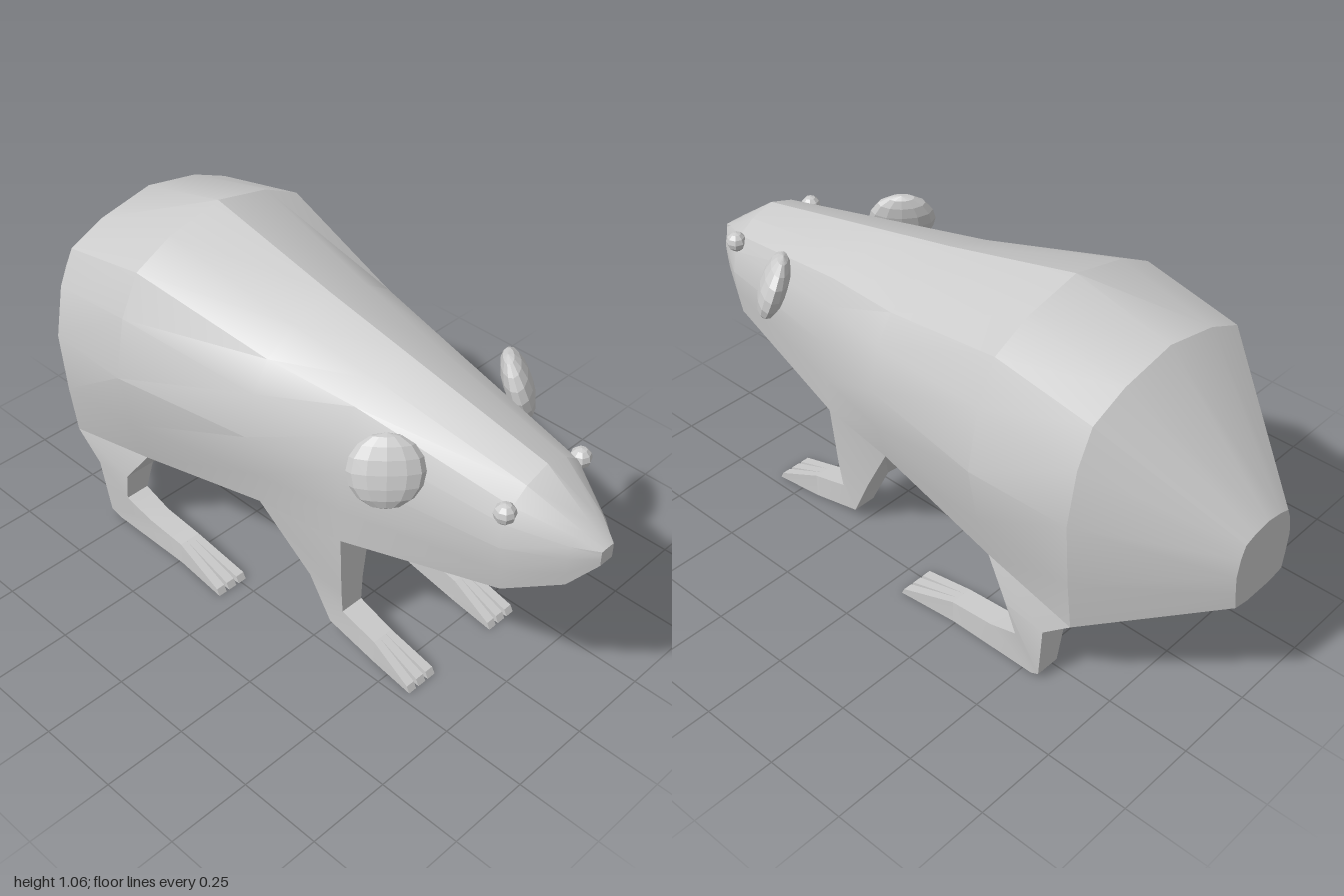
import * as THREE from 'three';
import { toCreasedNormals } from 'three/addons/utils/BufferGeometryUtils.js';

const material = new THREE.MeshStandardMaterial({ color: 0xcccccc });
const flat = new THREE.MeshStandardMaterial({ color: 0xcccccc, flatShading: true });

// Skin a list of equal-length closed rings (clockwise seen from the start) and cap both ends.
function loft(rings, crease) {
  const n = rings[0].length;
  const index = [];
  for (let i = 0; i < rings.length - 1; i++) {
    for (let j = 0; j < n; j++) {
      const a = i * n + j, b = i * n + (j + 1) % n;
      index.push(a, b, a + n, b, b + n, a + n);
    }
  }
  const last = (rings.length - 1) * n;
  for (let j = 1; j < n - 1; j++) {
    index.push(0, j + 1, j, last, last + j, last + j + 1);
  }
  const g = new THREE.BufferGeometry();
  g.setAttribute('position', new THREE.Float32BufferAttribute(rings.flat(2), 3));
  g.setIndex(index);
  return toCreasedNormals(g, crease);
}

function addMesh(parent, name, geometry, mat = material) {
  const mesh = new THREE.Mesh(geometry, mat);
  mesh.name = name;
  parent.add(mesh);
  return mesh;
}

// Full body ring from its key points; the rounding points between them follow a rule.
function bodyRing({ z, top, shoulder: [sx, sy], side: [wx, wy], corner: [cx, cy], belly: [bx, by], keel }) {
  const mix = THREE.MathUtils.lerp;
  const half = [
    [0, top], [0.6 * sx, mix(top, sy, 0.4)], [sx, sy],
    [mix(sx, wx, 0.63), mix(sy, wy, 0.4)], [wx, wy],
    [mix(cx, wx, 0.56), mix(cy, wy, 0.45)], [cx, cy], [bx, by], [0, keel],
  ];
  const left = half.slice(1, -1).reverse().map(([x, y]) => [-x, y, z]);
  return [...half.map(([x, y]) => [x, y, z]), ...left];
}

// Mirror a ring to the given side, keeping its faces outward.
const toSide = (ring, s) => {
  const r = ring.map(([x, y, z]) => [x * s, y, z]);
  return s < 0 ? r.reverse() : r;
};

// Four-cornered limb section: x range, then back/under and front/upper edges as [z, y].
const quad = (xi, xo, [bz, by], [fz, fy]) =>
  [[xi, by, bz], [xo, by, bz], [xo, fy, fz], [xi, fy, fz]];

// Limb top taken from the inner and outer belly edges of two body sections.
const hip = (back, front) => [
  [...back.belly, back.z], [...back.corner, back.z],
  [...front.corner, front.z], [...front.belly, front.z],
];

function addLeg(parent, name, s, rings, { root, tip, xi, xo, height }) {
  const leg = new THREE.Group();
  leg.name = name;
  parent.add(leg);
  addMesh(leg, 'limb', loft(rings.map(r => toSide(r, s)), 0.3));
  // Three tapered toes that fan out
  const w = (xo - xi) / 3;
  for (let k = 0; k < 3; k++) {
    const x = xi + k * w;
    const c = (xi + xo) / 2 + (k - 1) * 0.038;
    const toe = [
      quad(x, x + w, [root, 0], [root, height]),
      quad(c - 0.014, c + 0.014, [tip, 0], [tip - 0.01, 0.02]),
    ];
    addMesh(leg, 'toe', loft(toe.map(r => toSide(r, s)), 0.3));
  }
}

export function createModel() {
  const model = new THREE.Group();
  model.name = 'rodent';

  // Body sections
  const nose = { z: 1, top: .665, shoulder: [.023, .664], side: [.024, .64], corner: [.023, .62], belly: [.012, .62], keel: .62 };
  const snout = { z: .94, top: .71, shoulder: [.055, .695], side: [.08, .64], corner: [.072, .55], belly: [.035, .55], keel: .55 };
  const face = { z: .8, top: .81, shoulder: [.128, .75], side: [.165, .64], corner: [.145, .49], belly: [.07, .49], keel: .49 };
  const chest = { z: .33, top: .905, shoulder: [.185, .828], side: [.238, .64], corner: [.23, .4], belly: [.12, .345], keel: .4 };
  const waist = { z: .06, top: .96, shoulder: [.23, .86], side: [.315, .65], corner: [.27, .4], belly: [.12, .32], keel: .37 };
  const back = { z: -.37, top: 1.06, shoulder: [.3, .96], side: [.395, .66], corner: [.315, .33], belly: [.2, .285], keel: .3 };
  const rump = { z: -.67, top: .985, shoulder: [.29, .9], side: [.37, .64], corner: [.335, .28], belly: [.2, .25], keel: .27 };
  const tail = { z: -1, top: .62, shoulder: [.09, .6], side: [.115, .51], corner: [.1, .4], belly: [.05, .39], keel: .39 };
  const sections = [nose, snout, face, chest, waist, back, rump, tail];
  addMesh(model, 'body', loft(sections.map(bodyRing), 0.42));

  const frontLeg = [
    hip(waist, chest),
    quad(.13, .215, [.2, .18], [.322, .2]),
    quad(.13, .205, [.27, .04], [.318, .11]),
    quad(.135, .205, [.44, 0], [.44, .077]),
  ];
  const hindLeg = [
    hip(rump, back),
    quad(.235, .335, [-.58, .2], [-.45, .22]),
    quad(.245, .322, [-.56, .02], [-.475, .115]),
    quad(.245, .316, [-.53, 0], [-.38, .082]),
    quad(.247, .317, [-.24, 0], [-.24, .072]),
  ];

  for (const s of [1, -1]) {
    const side = s > 0 ? 'left' : 'right';
    addLeg(model, side + 'FrontLeg', s, frontLeg,
      { root: .44, tip: .59, xi: .135, xo: .205, height: .077 });
    addLeg(model, side + 'HindLeg', s, hindLeg,
      { root: -.24, tip: -.055, xi: .247, xo: .317, height: .072 });

    // Ear: thin disc facing forward, outward and slightly up
    const ear = addMesh(model, side + 'Ear', new THREE.SphereGeometry(0.1, 12, 8), flat);
    ear.position.set(s * 0.255, 0.763, 0.505);
    ear.lookAt(s * 0.905, 1.093, 1.155);
    ear.scale.z = 0.4;

    // Eye
    const eye = addMesh(model, side + 'Eye', new THREE.SphereGeometry(0.03, 8, 6), flat);
    eye.position.set(s * 0.148, 0.74, 0.795);
  }
  return model;
}
